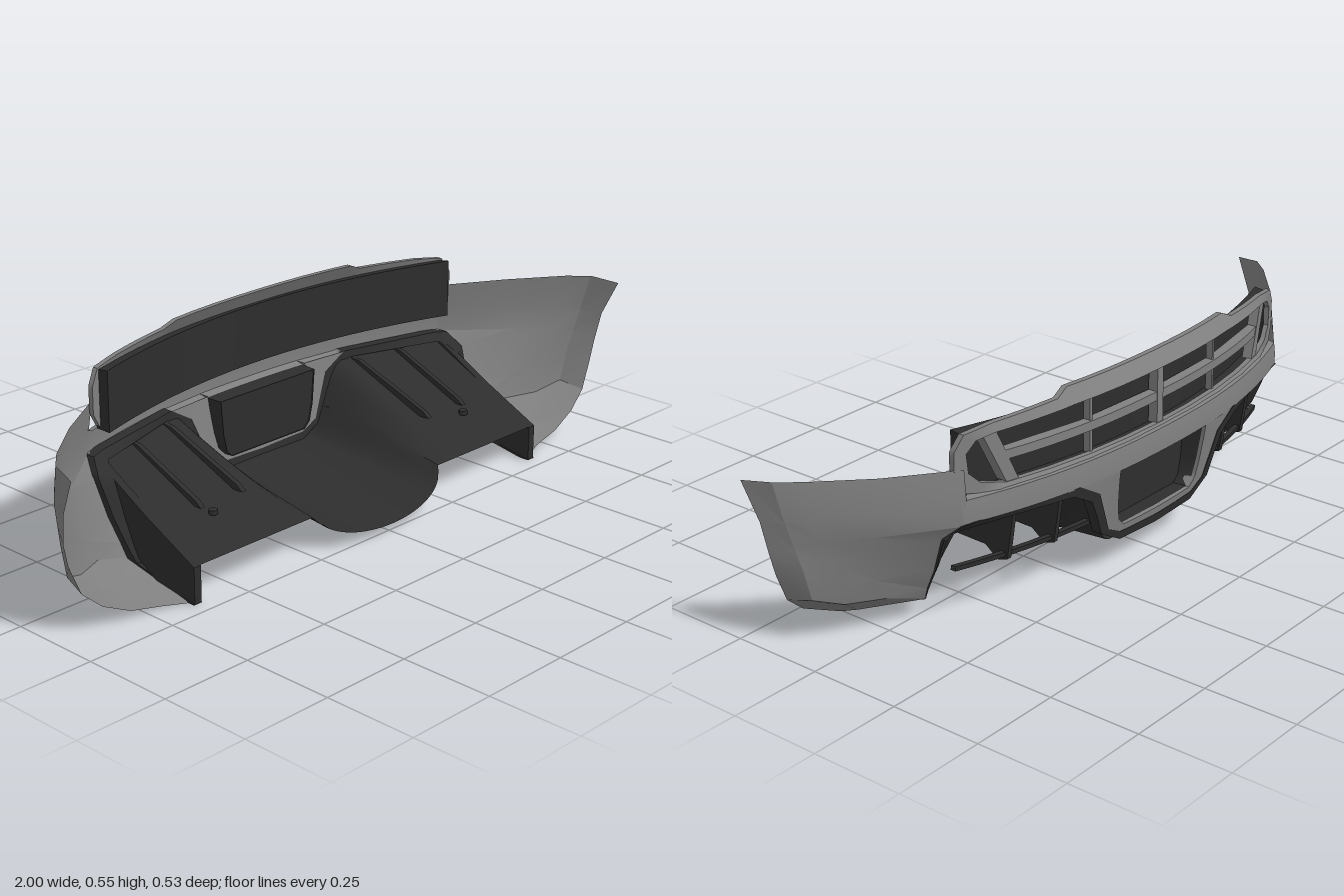
import * as THREE from 'three';
import { toCreasedNormals } from 'three/addons/utils/BufferGeometryUtils.js';

const body = new THREE.MeshStandardMaterial({ color: 0x808080, side: THREE.DoubleSide });
const dark = new THREE.MeshStandardMaterial({ color: 0x2d2d2d, side: THREE.DoubleSide });

// Outer skin: plan curve of the bumper, stepped in at the grille and tucked in below
const skinZ = (x, y = 0.3) => -0.265 + 0.29 * Math.abs(x) ** 2.3
  + THREE.MathUtils.clamp((y - 0.34) * 1.5, 0, 0.018)
  + 0.14 * Math.max(0, 0.29 - y) + 0.7 * Math.max(0, y - 0.51);
const trayZ = x => -0.21 + 0.28 * x * x;
const fade = (x, a, b) => 1 - THREE.MathUtils.smoothstep(Math.abs(x), a, b);

// Surface through rows of [x, y, z] points
function grid(rows, crease = 0.6) {
  const n = rows[0].length, index = [];
  for (let i = 0; i < rows.length - 1; i++) for (let j = 0; j < n - 1; j++) {
    const a = i * n + j, b = a + n;
    index.push(a, b, a + 1, b, b + 1, a + 1);
  }
  const g = new THREE.BufferGeometry();
  g.setAttribute('position', new THREE.Float32BufferAttribute(rows.flat(2), 3));
  g.setIndex(index);
  return toCreasedNormals(g, crease);
}

// Sweep a cross-section from side to side
function sweepX(half, n, section) {
  const rows = [];
  for (let i = 0; i <= n; i++) {
    const x = -half + 2 * half * i / n;
    rows.push(section(x).map(([y, z]) => [x, y, z]));
  }
  return grid(rows);
}

// Split each segment of a path into k pieces
function refine(path, k = 4) {
  const out = [path[0]];
  for (let i = 1; i < path.length; i++) for (let s = 1; s <= k; s++)
    out.push(path[i].map((v, c) => path[i - 1][c] + (v - path[i - 1][c]) * s / k));
  return out;
}
const mirrorPath = p => [...p, ...p.slice().reverse().map(([x, ...r]) => [-x, ...r])];

// Solid rail between two paths lying on the skin (or with their own z)
function rail(outer, inner, depth, lift = 0) {
  const a = refine(outer), b = refine(inner);
  return grid(a.map(([x, y, z = skinZ(x, y) + lift], i) => {
    const [u, v, w = skinZ(u, v) + lift] = b[i];
    return [[x, y, z], [u, v, w], [u, v, w + depth], [x, y, z + depth], [x, y, z]];
  }));
}

// Upright plate in the side plane from a (z, y) outline
function sidePlate(points, x, t) {
  const g = new THREE.ExtrudeGeometry(new THREE.Shape(points.map(p => new THREE.Vector2(...p))),
    { depth: t, bevelEnabled: false });
  return g.rotateY(-Math.PI / 2).translate(x + t / 2, 0, 0);
}

export function createModel() {
  const model = new THREE.Group();
  const add = (name, geometry, material, parent = model) => {
    const m = new THREE.Mesh(geometry, material);
    m.name = name;
    parent.add(m);
    return m;
  };

  // Side wings: rows from top to bottom, columns from the middle to the wheel arch
  const wing = [
    [[.635, .425, -.15], [.80, .43, -.037], [.93, .436, .075], [.978, .437, .13], [1, .428, .21]],
    [[.64, .35, -.16], [.81, .345, -.04], [.93, .34, .06], [.968, .335, .105], [.99, .33, .165]],
    [[.65, .286, -.157], [.81, .28, -.03], [.91, .28, .055], [.953, .27, .095], [.982, .25, .15]],
    [[.668, .24, -.11], [.80, .235, -.02], [.90, .225, .055], [.94, .215, .086], [.968, .19, .147]],
    [[.66, .15, -.075], [.79, .15, 0], [.88, .14, .05], [.92, .125, .08], [.935, .11, .15]],
    [[.65, .085, -.04], [.76, .09, 0], [.85, .097, .045], [.89, .108, .075], [.88, .062, .156]],
    [[.645, .05, -.025], [.72, .042, .04], [.77, .038, .08], [.80, .036, .11], [.80, .025, .162]],
    [[.635, .02, .07], [.66, .016, .1], [.69, .012, .13], [.71, .01, .15], [.71, .007, .168]],
    [[.63, .002, .19], [.635, .002, .19], [.64, .001, .19], [.645, .001, .19], [.65, .001, .19]],
  ];
  for (const s of [1, -1])
    add(s > 0 ? 'leftWing' : 'rightWing', grid(wing.map(r => r.map(([x, y, z]) => [s * x, y, z])), 0.36), body);

  // Centre band of the bumper with a folded lip
  add('bumperBand', sweepX(0.65, 40, x => [
    [.355, skinZ(x) + .025], [.35, skinZ(x) + .004], [.32, skinZ(x)], [.29, skinZ(x)], [.285, skinZ(x) + .025],
  ]), body);

  // Upper grille frame
  const frameOut = [[0, .545], [.32, .545], [.36, .528], [.55, .52], [.63, .51], [.655, .47],
    [.655, .40], [.63, .36], [.55, .345], [0, .345]];
  const frameIn = [[0, .505], [.32, .505], [.36, .503], [.55, .497], [.60, .488], [.625, .46],
    [.62, .41], [.59, .38], [.52, .362], [0, .358]];
  add('grilleFrame', rail(mirrorPath(frameOut), mirrorPath(frameIn), .015), body);

  // Grille bars
  const bars = new THREE.Group();
  bars.name = 'grilleBars';
  model.add(bars);
  const half = [[0, .442], [.25, .442], [.53, .442]], low = half.map(([x]) => [x, .418]);
  add('horizontalBar', rail(mirrorPath(half), mirrorPath(low), .025, .005), body, bars);
  add('centreBar', rail([[-.012, .505], [-.012, .355]], [[.012, .505], [.012, .355]], .028, .003), body, bars);
  for (const s of [1, -1]) {
    add('slantedBar', rail([[s * .545, .5], [s * .485, .36]], [[s * .58, .495], [s * .52, .362]], .03, .003), body, bars);
    add('thinBar', rail([[s * .25, .505], [s * .25, .355]], [[s * .258, .505], [s * .258, .355]], .02, .01), body, bars);
  }

  // Tray closing the grille from inside
  const traySection = x => [[.505, skinZ(x, .5) + .012], [.51, trayZ(x)], [.43, trayZ(x)], [.35, trayZ(x)], [.35, skinZ(x) + .02]];
  add('grilleTray', sweepX(0.625, 30, traySection), dark);
  for (const s of [1, -1]) {
    const p = traySection(.625).map(([y, z]) => [s * .625, y, z]);
    add('trayEnd', grid([[p[0], p[1]], [p[4], p[3]]]), dark);
  }

  // Centre surround and its recessed panel
  const surOut = [[.32, .292], [.25, .25], [.225, .19], [.20, .13], [.15, .105], [0, .10]];
  const surIn = [[.18, .29], [.178, .25], [.172, .19], [.162, .145], [.14, .122], [0, .12]];
  add('centreSurround', rail(mirrorPath(surOut), mirrorPath(surIn), .03), body);
  const recess = mirrorPath([[0, .285], [.18, .285], [.172, .19], [.16, .14], [.14, .122], [0, .122]]);
  add('recessWall', grid(recess.map(([x, y]) => [[x, y, skinZ(x, y) + .01], [x * .97, y, -.185]])), dark);
  const panel = new THREE.Shape(recess.map(([x, y]) => new THREE.Vector2(x * .97, y)));
  add('recessPanel', new THREE.ShapeGeometry(panel).translate(0, 0, -.19), dark);

  // Dark trim following the lower edge of the bumper down to the wing feet
  const trimOut = [[0, .10], [.15, .105], [.20, .13], [.225, .19], [.25, .25], [.32, .292], [.62, .292],
    [.655, .288, -.158], [.675, .25, -.118], [.664, .15, -.078], [.654, .085, -.043], [.648, .048, -.022],
    [.637, .018, .07], [.645, 0, .18]];
  const trimIn = [[0, .078], [.15, .083], [.225, .125], [.25, .185], [.275, .235], [.34, .272], [.61, .27, -.155],
    [.63, .262, -.135], [.64, .24, -.10], [.632, .15, -.06], [.626, .085, -.025], [.622, .045, .005],
    [.618, .018, .08], [.618, 0, .18]];
  const fill = p => p.map(([x, y, z = skinZ(x, y) - .002]) => [x, y, z]).reverse();
  add('lowerTrim', rail(mirrorPath(fill(trimOut)), mirrorPath(fill(trimIn)), .03), dark);

  // Diffuser floor: a ramp at both sides with a deep round channel in the middle
  const floorAt = (x, t) => {
    const f = Math.sqrt(Math.max(0, 1 - (x / .23) ** 2)), r = fade(x, .17, .31);
    const y0 = .098 - .073 * f, z0 = .208 + .057 * f;
    const y1 = .275 - .19 * r, z1 = skinZ(x, y1) + .015;
    return [y0 + (y1 - y0) * t, z0 + (z1 - z0) * t];
  };
  add('diffuserFloor', sweepX(0.63, 90, x => [0, .2, .4, .6, .8, 1].map(t => floorAt(x, t))), dark);

  for (const s of [1, -1]) {
    // Upright end wall of the diffuser
    add('diffuserEndWall', sidePlate([[-.15, .285], [-.1, .24], [-.05, .15], [-.01, .07], [.07, .02],
      [.2, .001], [.209, .001], [.209, .097], [.04, .18]], s * .63, .022), dark);
    // Fins below the floor, with a raised ridge above
    for (const x of [.35, .49]) {
      const z = skinZ(x) + .03;
      add('diffuserFin', sidePlate([[z, .27], [z + .02, .14], [z + .05, .13], [z + .09, .16],
        [.08, .165], [.06, .18], [z + .03, .268]], s * x, .014), dark);
    }
    // Slim cross bar tying the fins together
    add('finBar', rail([[s * .23, .158], [s * .42, .158], [s * .63, .158]],
      [[s * .23, .145], [s * .42, .145], [s * .63, .145]], .015, .035), dark);
    // Small fixing studs on the floor
    const [sy, sz] = floorAt(.47, .28);
    add('fixingStud', new THREE.CylinderGeometry(.012, .012, .012, 10).translate(s * .47, sy + .006, sz), dark);
  }
  return model;
}
